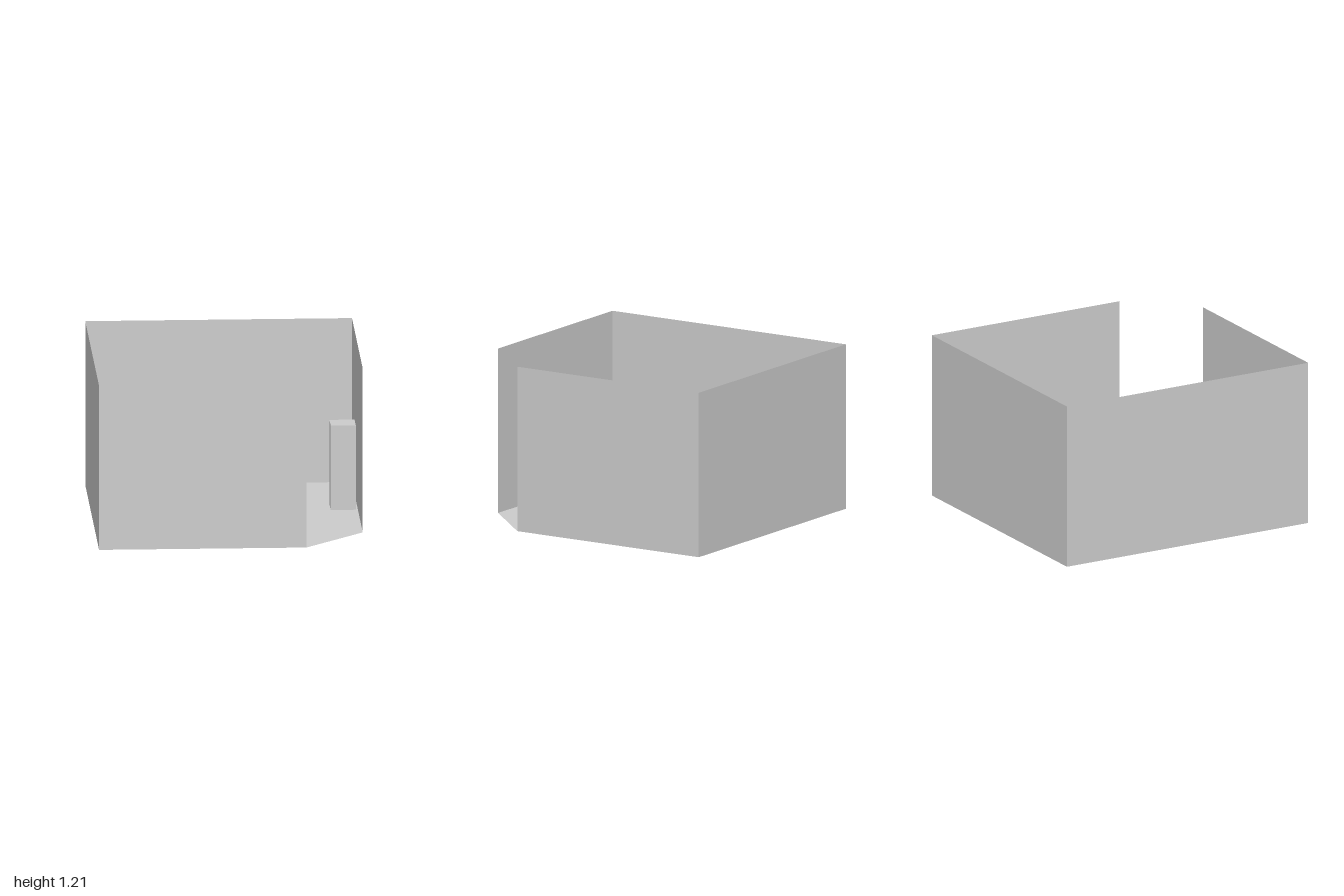
import * as THREE from 'three';

export function createModel() {
  const room = new THREE.Group();
  room.name = 'bathroom';
  const W = 0.955, D = 1, H = 1.205, CUT_X = 0.53, CUT_Z = 0.555;

  const solid = new THREE.MeshStandardMaterial({ color: 0xcccccc, flatShading: true });
  const sheet = new THREE.MeshStandardMaterial({ color: 0xcccccc, flatShading: true, side: THREE.DoubleSide });

  function add(name, geometry, material, x = 0, y = 0, z = 0) {
    const mesh = new THREE.Mesh(geometry, material);
    mesh.name = name;
    mesh.position.set(x, y, z);
    room.add(mesh);
    return mesh;
  }

  // Outline as [x, z], from one side of the corner opening round to the other
  const outline = [[CUT_X, D], [-W, D], [-W, -D], [W, -D], [W, CUT_Z]];

  // Floor with the cut corner
  const floorShape = new THREE.Shape(outline.map(([x, z]) => new THREE.Vector2(x, -z)));
  add('floor', new THREE.ShapeGeometry(floorShape).rotateX(-Math.PI / 2), sheet);

  // Thin upright sheet between two floor points
  function addPanel(name, [x1, z1], [x2, z2], bottom, top) {
    const length = Math.hypot(x2 - x1, z2 - z1);
    const panel = add(name, new THREE.PlaneGeometry(length, top - bottom), sheet,
      (x1 + x2) / 2, (bottom + top) / 2, (z1 + z2) / 2);
    panel.rotation.y = Math.atan2(z1 - z2, x2 - x1);
  }

  // Walls, leaving the cut corner open as the entrance
  ['frontWall', 'rightWall', 'backWall', 'leftWall'].forEach((name, i) =>
    addPanel(name, outline[i], outline[i + 1], 0, H));

  // Mirror on the left wall, above the washstand
  addPanel('mirror', [W - 0.005, 0.005], [W - 0.005, -0.44], 0.62, 1.15);

  // Block fittings standing on the floor
  function addBlock(name, x1, x2, z1, z2, height) {
    add(name, new THREE.BoxGeometry(x2 - x1, height, z2 - z1), solid,
      (x1 + x2) / 2, height / 2, (z1 + z2) / 2);
  }
  addBlock('bathtub', -0.865, 0.14, -0.97, -0.57, 0.25);
  addBlock('washstand', 0.76, 0.94, -0.325, -0.145, 0.62);
  addBlock('toilet', -0.88, -0.70, -0.335, -0.155, 0.22);
  addBlock('bidet', -0.88, -0.70, 0.08, 0.26, 0.22);

  return room;
}
